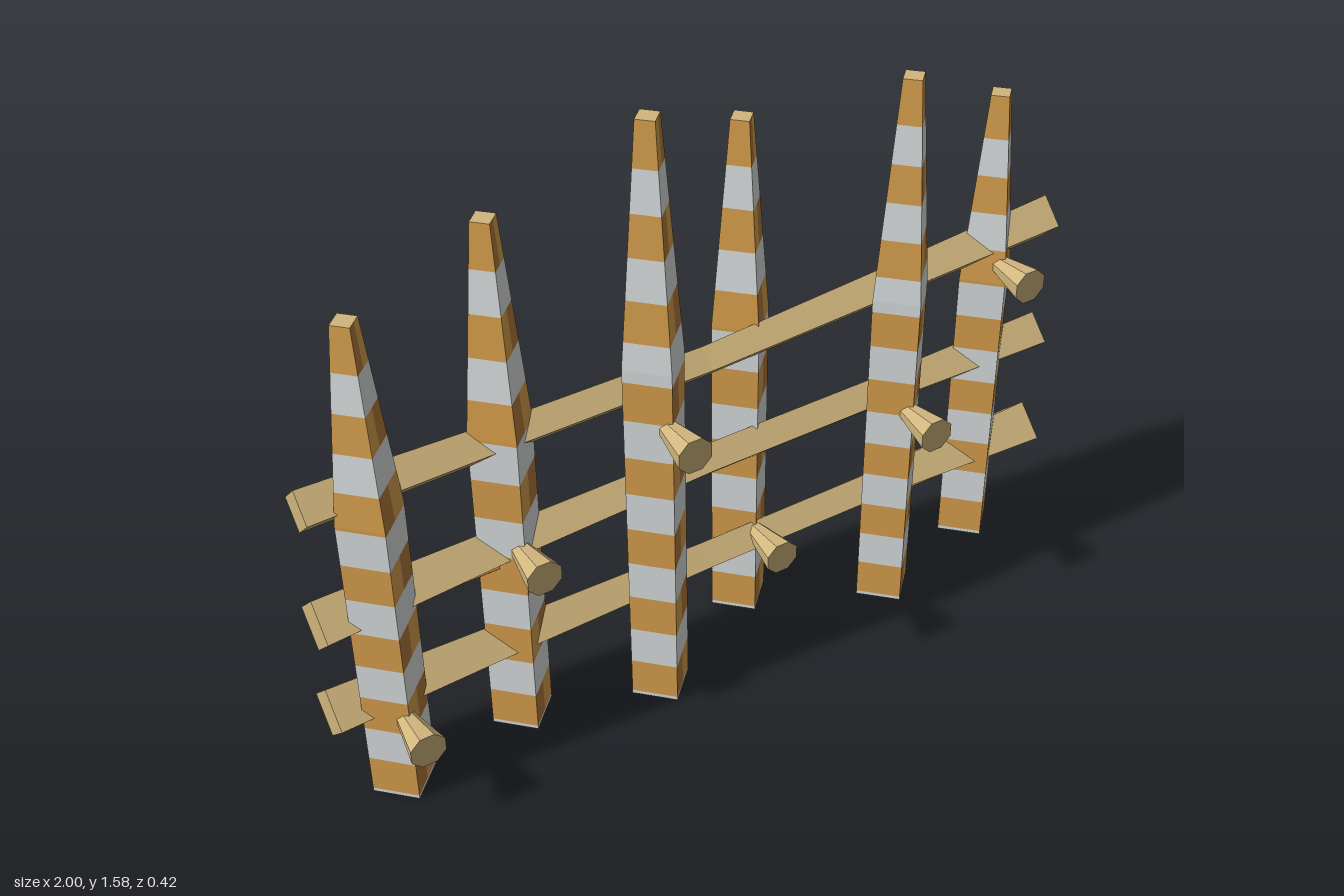
import * as THREE from 'three';

const mat = (name, color, side = THREE.FrontSide) => {
  const m = new THREE.MeshStandardMaterial({ color, side });
  m.name = name;
  return m;
};

// Collects quads (counter-clockwise corners) into one flat-faced geometry per material index
function quadGeometry(quads) {
  const pos = [], geo = new THREE.BufferGeometry();
  quads.sort((a, b) => a.m - b.m);
  quads.forEach(({ c: [a, b, c, d], m }, i) => {
    pos.push(...a, ...b, ...c, ...a, ...c, ...d);
    geo.addGroup(i * 6, 6, m);
  });
  geo.setAttribute('position', new THREE.Float32BufferAttribute(pos, 3));
  geo.computeVertexNormals();
  return geo;
}

const lerp = THREE.MathUtils.lerp;

// Hollow square stake set cornerwise, open below, tapered above its shoulder, with painted bands
function stakeGeometry(height) {
  const shoulder = height * 0.62, foot = 0.11;
  const radius = y => (y < shoulder ? 0.08 : lerp(0.08, 0.031, (y - shoulder) / (height - shoulder)));
  const corner = (f, y) => {
    const a = f * Math.PI / 2, r = radius(y);
    return [Math.sin(a) * r, y, Math.cos(a) * r];
  };
  const mid = (f, y) => corner(f, y).map((v, i) => (v + corner(f + 1, y)[i]) / 2);

  // An odd number of bands between foot and tip, so that both of these are orange
  const span = height - 2 * foot;
  const count = 2 * Math.round((span / 0.1015 - 1) / 2) + 1;
  const step = span / count;
  const levels = [0, 0.01, shoulder, height];
  for (let k = 0; k <= count; k++) levels.push(foot + k * step);
  levels.sort((a, b) => a - b);

  const quads = [];
  for (let i = 0; i < levels.length - 1; i++) {
    const y0 = levels[i], y1 = levels[i + 1];
    const band = Math.floor(((y0 + y1) / 2 - foot) / step) + 1;
    const pale = i === 0 || (band > 0 && band <= count && band % 2 === 1);
    for (let f = 0; f < 4; f++) {
      for (let half = 0; half < 2; half++) {
        const dark = (band * 3 + f * 5 + half * 2) % 4 === 0;
        const left = y => (half ? mid(f, y) : corner(f, y));
        const right = y => (half ? corner(f + 1, y) : mid(f, y));
        quads.push({ c: [left(y0), right(y0), right(y1), left(y1)], m: pale ? 0 : dark ? 2 : 1 });
      }
    }
  }
  quads.push({ c: [0, 1, 2, 3].map(f => corner(f, height)), m: 3 });
  return quadGeometry(quads);
}

const STATIONS = [-1, -0.5, 0, 0.5, 1];
const RAIL_Z = -0.062;

// Rail with a diamond section, given centre heights and radii at each station
function railGeometry(ys, rs) {
  const ring = i => [[0, 1], [1, 0], [0, -1], [-1, 0]]
    .map(([z, y]) => [STATIONS[i], ys[i] + y * rs[i], RAIL_Z + z * rs[i]]);
  const quads = [];
  for (let i = 0; i < 4; i++) {
    const a = ring(i), b = ring(i + 1);
    for (let j = 0; j < 4; j++) {
      const k = (j + 1) % 4;
      quads.push({ c: [a[k], b[k], b[j], a[j]], m: 0 });
    }
  }
  quads.push({ c: ring(4), m: 0 });
  quads.push({ c: ring(0).reverse(), m: 0 });
  return quadGeometry(quads);
}

function sample(list, x) {
  const t = Math.min((x + 1) * 2, 3.999), i = Math.floor(t);
  return lerp(list[i], list[i + 1], t - i);
}

export function createModel() {
  const model = new THREE.Group();
  model.name = 'fence';
  const paleGrey = mat('pale grey paint', 0xe0e4e4, THREE.DoubleSide);
  const orange = mat('orange wood', 0xdca34e, THREE.DoubleSide);
  const brown = mat('brown wood', 0xb47c3c, THREE.DoubleSide);
  const beige = mat('beige wood', 0xd1b67d);

  const add = (geo, material, name, x = 0, y = 0, z = 0) => {
    const mesh = new THREE.Mesh(geo, material);
    mesh.name = name;
    mesh.position.set(x, y, z);
    model.add(mesh);
    return mesh;
  };

  // Stakes [x, z, height], each with a flared peg at the front [height, front end z]
  const stakes = [
    [-0.86, -0.012, 1.3, 0.245, 0.163],
    [-0.523, -0.06, 1.4, 0.555, 0.113],
    [-0.19, 0.037, 1.58, 0.825, 0.211],
    [0.147, -0.133, 1.4, 0.265, 0.065],
    [0.483, 0.037, 1.48, 0.6, 0.211],
    [0.82, -0.057, 1.3, 0.85, 0.113],
  ];
  const pegGeo = new THREE.CylinderGeometry(0.046, 0.019, 0.14, 8).toNonIndexed();
  pegGeo.rotateY(Math.PI / 8).rotateX(Math.PI / 2);
  pegGeo.computeVertexNormals();
  for (const [x, z, h, pegY, pegZ] of stakes) {
    add(stakeGeometry(h), [paleGrey, orange, brown, beige], 'stake', x, 0, z);
    add(pegGeo, beige, 'peg', x, pegY, pegZ - 0.07);
  }

  // Rails, with worn patches [x, length, side] on their lower faces
  const rails = [
    { name: 'bottomRail', ys: [0.245, 0.245, 0.245, 0.245, 0.245], rs: [0.073, 0.056, 0.046, 0.048, 0.074],
      patches: [[0.63, 0.11, 1], [-0.62, 0.1, -1]] },
    { name: 'middleRail', ys: [0.513, 0.533, 0.547, 0.549, 0.55], rs: [0.073, 0.056, 0.047, 0.047, 0.06],
      patches: [[-0.62, 0.1, 1], [-0.8, 0.1, -1]] },
    { name: 'topRail', ys: [0.838, 0.836, 0.838, 0.868, 0.9], rs: [0.058, 0.046, 0.043, 0.05, 0.06],
      patches: [[-0.75, 0.08, -1]] },
  ];
  for (const { name, ys, rs, patches } of rails) {
    add(railGeometry(ys, rs), beige, name);
    for (const [x, length, side] of patches) {
      const r = sample(rs, x);
      const patch = add(new THREE.BoxGeometry(length, 0.035, 0.006), brown, 'wornPatch',
        x, sample(ys, x) - r / 2, RAIL_Z + side * r / 2);
      patch.rotation.x = side * Math.PI / 4;
    }
  }

  // Grain lines across the worn end of the middle rail
  for (let i = -3; i <= 3; i++) {
    const y = i * 0.014;
    add(new THREE.BoxGeometry(0.004, 0.009, 2 * (0.054 - Math.abs(y))), brown, 'endGrain', 0.9985, 0.55 + y, RAIL_Z);
  }
  return model;
}
